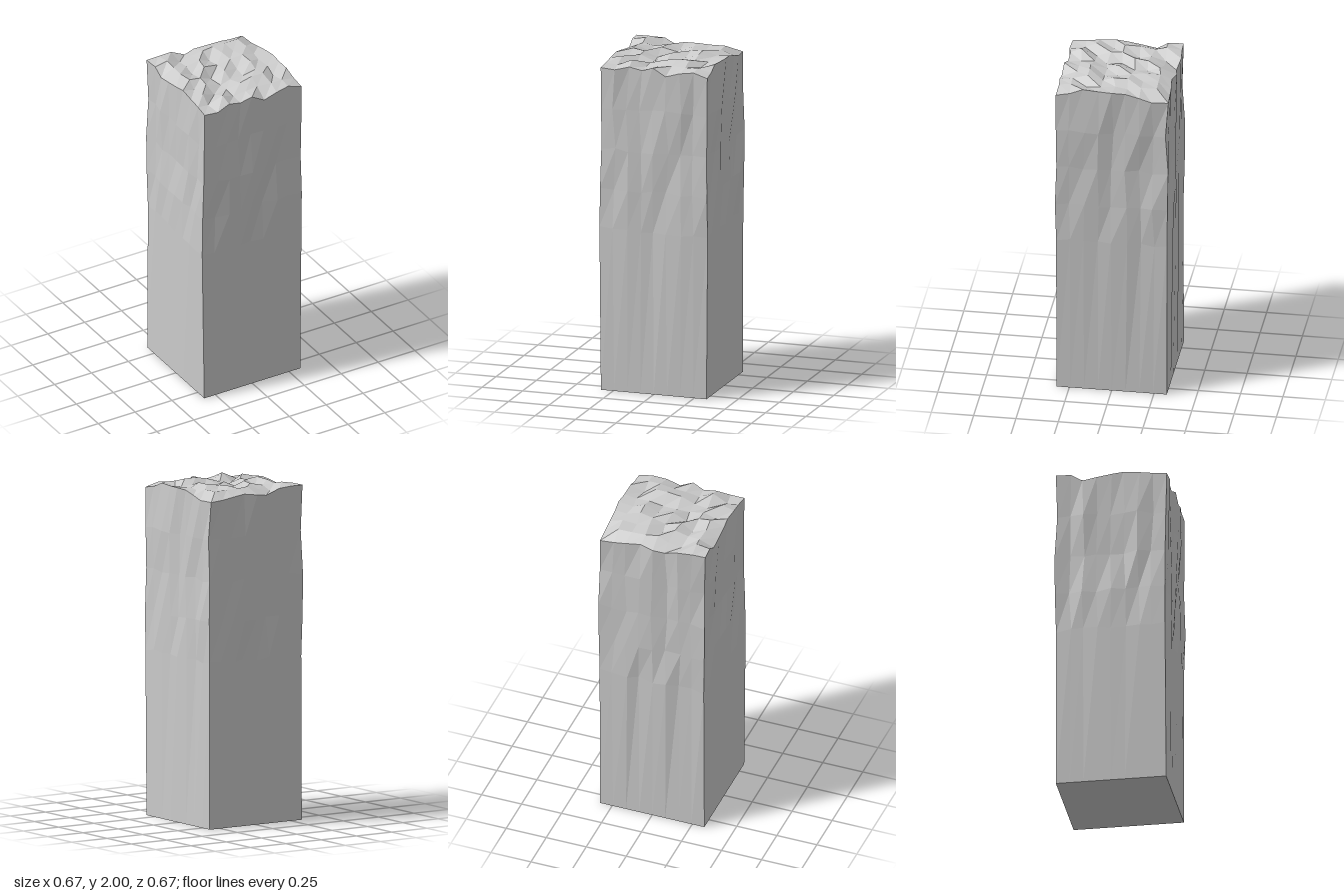
import * as THREE from 'three';

const HALF = 0.326, N = 8;
const ROWS = [0, 0.98, 1.22, 1.46, 1.71, 1.965]; // heights of the horizontal edge loops

// Heights along the rim of the rough top (left to right, back to front)
const RIM = {
  front: [1.95, 1.945, 1.965, 1.95, 1.975, 1.93, 1.955, 1.965, 1.94],
  back: [1.98, 1.98, 1.975, 1.94, 1.95, 1.96, 1.95, 1.94, 1.935],
  left: [1.98, 1.98, 1.94, 1.955, 1.97, 1.98, 1.97, 1.96, 1.95],
  right: [1.935, 1.935, 1.955, 1.975, 1.98, 1.98, 1.985, 1.955, 1.94],
};

// Repeatable noise in -1..1 for a grid point, so shared corners stay together
function noise(i, j, k, seed) {
  const s = Math.sin(i * 127.1 + j * 311.7 + k * 74.7 + seed * 53.3) * 43758.5453;
  return (s - Math.floor(s)) * 2 - 1;
}

function topHeight(i, k) {
  if (k === N) return RIM.front[i];
  if (k === 0) return RIM.back[i];
  if (i === 0) return RIM.left[k];
  if (i === N) return RIM.right[k];
  return 1.973 + 0.026 * noise(i, 5, k, 4);
}

export function createModel() {
  const group = new THREE.Group();
  group.name = 'stonePillar';

  // Square block: plain lower half, weathered upper half and broken top
  const rows = ROWS.length - 1;
  const geometry = new THREE.BoxGeometry(N, rows, N, N, rows, N);
  const pos = geometry.attributes.position;
  for (let v = 0; v < pos.count; v++) {
    const i = Math.round(pos.getX(v) + N / 2);
    const j = Math.round(pos.getY(v) + rows / 2);
    const k = Math.round(pos.getZ(v) + N / 2);
    const rough = j === 0 ? 0 : 0.011;
    const x = (i / N * 2 - 1) * HALF + rough * noise(i, j, k, 1);
    const z = (k / N * 2 - 1) * HALF + rough * noise(i, j, k, 2);
    const y = j === rows ? topHeight(i, k) : ROWS[j] + rough * noise(i, j, k, 3);
    pos.setXYZ(v, x, y, z);
  }
  geometry.computeVertexNormals();

  const material = new THREE.MeshStandardMaterial({ color: 0xcccccc, flatShading: true });
  const pillar = new THREE.Mesh(geometry, material);
  pillar.name = 'pillarBlock';
  group.add(pillar);
  return group;
}
